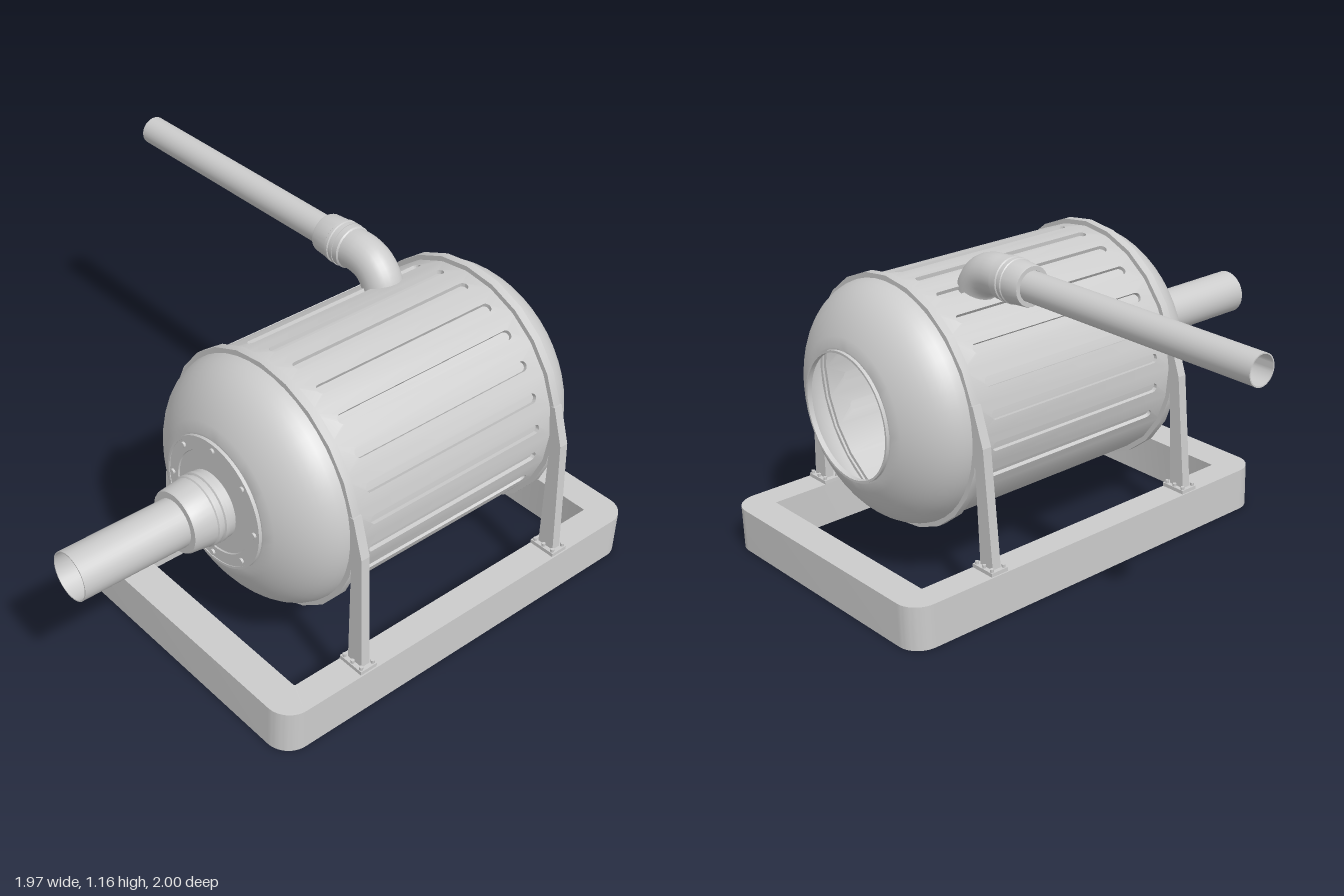
import * as THREE from 'three';
import { mergeGeometries, toCreasedNormals } from 'three/addons/utils/BufferGeometryUtils.js';

const CX = 0.445, CY = 0.618, R = 0.432;   // drum axis and radius
const Z0 = -0.64, Z1 = 0.25;               // straight part of the drum
const SIDES = 24, STEP = (Math.PI * 2) / SIDES;
const mat = new THREE.MeshStandardMaterial({ color: 0xcccccc, side: THREE.DoubleSide });

function add(parent, name, geometry, x = 0, y = 0, z = 0) {
  const mesh = new THREE.Mesh(geometry, mat);
  mesh.name = name;
  mesh.position.set(x, y, z);
  parent.add(mesh);
  return mesh;
}

// Turned part along +z from [radius, z] pairs
function turned(points, sides = SIDES, crease = 0.45) {
  const g = new THREE.LatheGeometry(points.map(p => new THREE.Vector2(p[0], p[1])), sides);
  g.rotateX(Math.PI / 2);
  return toCreasedNormals(g, crease);
}

function roundedRect(path, x0, y0, x1, y1, r) {
  path.moveTo(x0 + r, y0);
  path.lineTo(x1 - r, y0).absarc(x1 - r, y0 + r, r, -Math.PI / 2, 0);
  path.lineTo(x1, y1 - r).absarc(x1 - r, y1 - r, r, 0, Math.PI / 2);
  path.lineTo(x0 + r, y1).absarc(x0 + r, y1 - r, r, Math.PI / 2, Math.PI);
  path.lineTo(x0, y0 + r).absarc(x0 + r, y0 + r, r, Math.PI, Math.PI * 1.5);
  return path;
}

// Drum wall: one bent panel per side, the upper ones with a recessed slot
function drumWall() {
  const depth = 0.014, half = (R * STEP) / 2, parts = [];
  const slot = path => roundedRect(path, -0.017, -0.57, 0.017, 0.18, 0.0168);
  for (let i = 0; i < SIDES; i++) {
    const mid = (i + 0.5) * STEP;
    const slotted = i <= 13 - 0 && i >= 0 ? true : i >= SIDES - 2;
    const panel = new THREE.Shape();
    panel.moveTo(-half, Z0).lineTo(half, Z0).lineTo(half, Z1).lineTo(-half, Z1).closePath();
    if (slotted) panel.holes.push(slot(new THREE.Path()));
    const pieces = [new THREE.ExtrudeGeometry(panel, { depth, bevelEnabled: false, curveSegments: 5 })];
    if (slotted) pieces.push(new THREE.ShapeGeometry(slot(new THREE.Shape()), 5).toNonIndexed());
    for (const g of pieces) {
      const p = g.attributes.position;
      for (let k = 0; k < p.count; k++) {
        const a = mid + p.getX(k) / R, r = R - depth + p.getZ(k);
        p.setXYZ(k, r * Math.cos(a), r * Math.sin(a), p.getY(k));
      }
      parts.push(g);
    }
  }
  return toCreasedNormals(mergeGeometries(parts), 0.5);
}

// Domed end with a short lip, opening towards +z
function dome() {
  const pts = [];
  for (let i = 0; i <= 10; i++) {
    const a = (i / 10) * 0.99;
    pts.push([R * Math.cos(a), 0.235 * Math.sin(a)]);
  }
  pts.push([0.23, 0.196], [0.23, 0.208], [0.222, 0.208], [0.222, 0.19]);
  return turned(pts, 48);
}

// Ribbed pipe coupling, wide end at z = 0, unit length 1
function coupling(scale) {
  const pts = [[0.7, 0], [0.76, 0.04], [0.76, 0.2], [0.78, 0.2], [0.78, 0.28], [0.74, 0.3], [0.74, 0.36],
    [0.78, 0.38], [0.78, 0.46], [0.75, 0.48], [0.7, 0.96], [0.68, 1], [0.53, 1]];
  return turned(pts.map(p => [p[0] * scale, p[1] * scale]), 32);
}

function pipe(radius, length) {
  const r = radius - 0.004;
  return turned([[radius, 0], [radius, length], [r, length], [r, 0]], 32);
}

function buildDrum() {
  const drum = new THREE.Group();
  drum.name = 'drum';
  drum.position.set(CX, CY, 0);
  add(drum, 'drumWall', drumWall());
  add(drum, 'frontDome', dome(), 0, 0, Z1);
  add(drum, 'backDome', dome(), 0, 0, Z0).rotation.y = Math.PI;
  const band = turned([[0.42, -0.015], [0.45, -0.015], [0.45, 0.015], [0.42, 0.015]]);
  for (const z of [Z0, Z1]) add(drum, 'clampBand', band, 0, 0, z);

  // Bolted front flange
  add(drum, 'flange', turned([[0.228, 0.43], [0.228, 0.455], [0.18, 0.455], [0.178, 0.45], [0.07, 0.45]], 48));
  const bolt = new THREE.CylinderGeometry(0.01, 0.01, 0.012, 10).rotateX(Math.PI / 2);
  for (let i = 0; i < 8; i++) {
    const a = (i * Math.PI) / 4;
    add(drum, 'flangeBolt', bolt, 0.204 * Math.cos(a), 0.204 * Math.sin(a), 0.457);
  }

  // Front pipe
  add(drum, 'frontCoupling', coupling(0.155), 0, -0.002, 0.452);
  add(drum, 'frontPipe', pipe(0.083, 0.42), 0, -0.002, 0.58);
  return drum;
}

function buildSidePipe() {
  const g = new THREE.Group();
  g.name = 'sidePipe';
  g.position.set(0, 1.08, -0.4);
  add(g, 'sidePipeTube', pipe(0.052, 1.005), 0.02).rotation.y = -Math.PI / 2;
  add(g, 'sideCoupling', coupling(0.1).scale(1, 1, 1.35), 0.135).rotation.y = -Math.PI / 2;
  const path = new THREE.CatmullRomCurve3([[0.12, 0], [0.18, 0], [0.235, -0.017], [0.275, -0.06], [0.29, -0.12], [0.29, -0.18]]
    .map(p => new THREE.Vector3(p[0], p[1], 0)));
  add(g, 'elbow', new THREE.TubeGeometry(path, 20, 0.071, 24));
  return g;
}

function buildBase() {
  // Shape y becomes -z when laid flat
  const shape = roundedRect(new THREE.Shape(), -0.09, -0.6, 0.98, 1, 0.085);
  shape.holes.push(roundedRect(new THREE.Path(), 0.015, -0.475, 0.875, 0.885, 0.004));
  const g = new THREE.ExtrudeGeometry(shape, { depth: 0.16, bevelEnabled: false, curveSegments: 8 });
  return toCreasedNormals(g.rotateX(-Math.PI / 2), 0.5);
}

// One leg on the +x side, measured from the drum axis
function buildLeg(side, z) {
  const leg = new THREE.Group();
  leg.name = side > 0 ? 'leftLeg' : 'rightLeg';
  leg.position.set(CX, 0, z);
  const pts = [[0.45, 0.165], [0.515, 0.165], [0.485, 0.6], [0.44, 0.735], [0.425, 0.735], [0.44, 0.6]];
  const web = new THREE.Shape(pts.map(p => new THREE.Vector2(side * p[0], p[1])));
  add(leg, 'strut', new THREE.ExtrudeGeometry(web, { depth: 0.034, bevelEnabled: false }), 0, 0, -0.017);
  add(leg, 'footPlate', new THREE.BoxGeometry(0.1, 0.014, 0.068), side * 0.48, 0.167, 0);
  const bolt = new THREE.CylinderGeometry(0.007, 0.007, 0.012, 6);
  for (const x of [0.442, 0.48, 0.52])
    for (const dz of [-0.025, 0.025]) add(leg, 'footBolt', bolt, side * x, 0.179, dz);
  return leg;
}

export function createModel() {
  const model = new THREE.Group();
  model.name = 'drumUnit';
  add(model, 'baseFrame', buildBase());
  model.add(buildDrum(), buildSidePipe());
  for (const side of [-1, 1])
    for (const z of [Z0, Z1]) model.add(buildLeg(side, z));
  return model;
}
